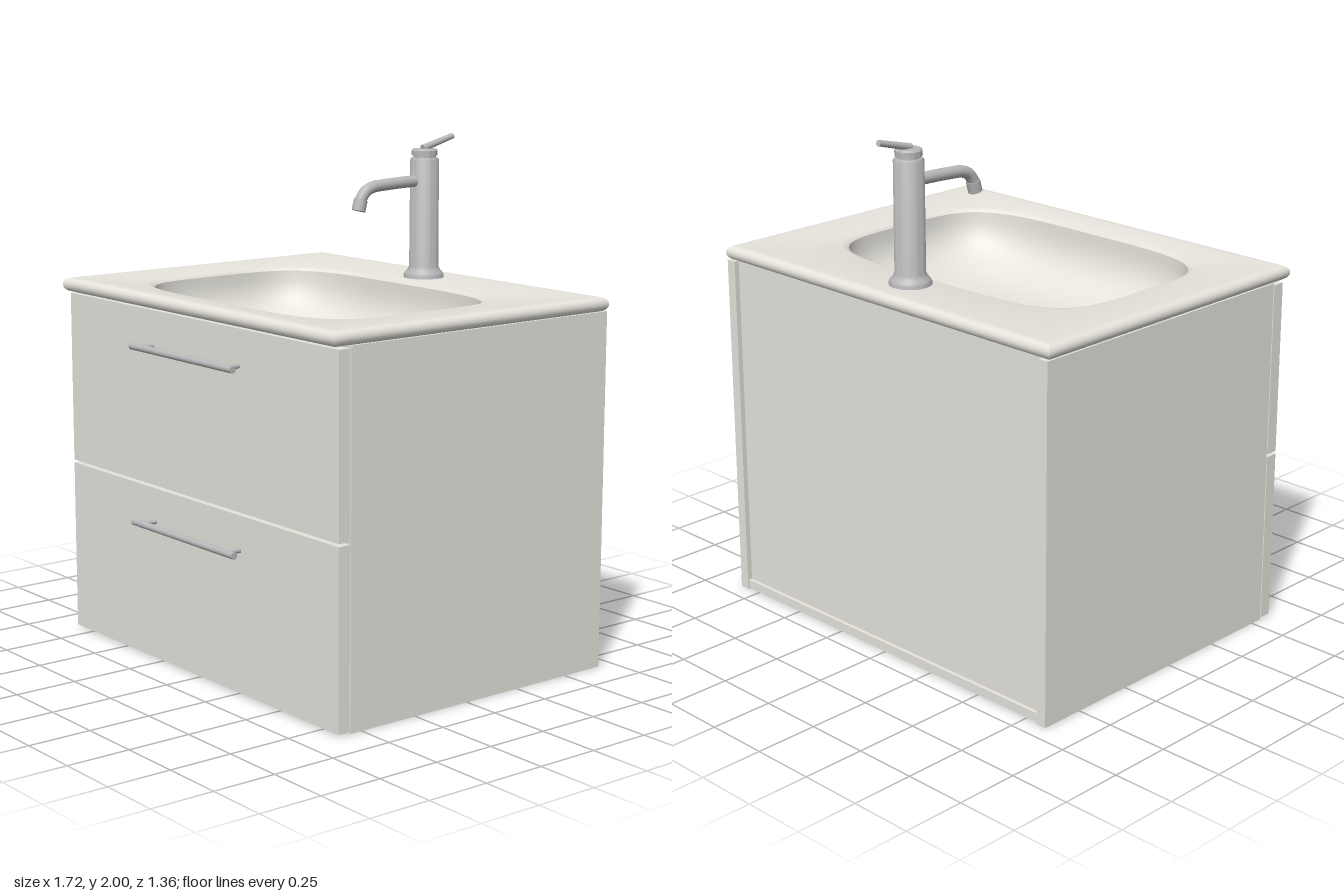
import * as THREE from 'three';
import { toCreasedNormals } from 'three/addons/utils/BufferGeometryUtils.js';

const white = new THREE.MeshStandardMaterial({ color: 0xe6e4dc });
const metal = new THREE.MeshStandardMaterial({ color: 0xb8b8ba });

function add(parent, name, geometry, material, x = 0, y = 0, z = 0) {
  const mesh = new THREE.Mesh(geometry, material);
  mesh.name = name;
  mesh.position.set(x, y, z);
  parent.add(mesh);
  return mesh;
}

// Box given by its minimum and maximum corners
function addBox(parent, name, [x0, y0, z0], [x1, y1, z1], material = white) {
  return add(parent, name, new THREE.BoxGeometry(x1 - x0, y1 - y0, z1 - z0), material,
    (x0 + x1) / 2, (y0 + y1) / 2, (z0 + z1) / 2);
}

// Round rod between two points
function addRod(parent, name, a, b, r0, r1 = r0) {
  const from = new THREE.Vector3(...a), to = new THREE.Vector3(...b);
  const dir = to.clone().sub(from);
  const rod = add(parent, name, new THREE.CylinderGeometry(r1, r0, dir.length(), 24), metal);
  rod.position.copy(from).add(to).multiplyScalar(0.5);
  rod.quaternion.setFromUnitVectors(new THREE.Vector3(0, 1, 0), dir.normalize());
  return rod;
}

function addLathe(parent, name, profile, x, y, z) {
  const points = profile.map(([r, h]) => new THREE.Vector2(r, h));
  return add(parent, name, toCreasedNormals(new THREE.LatheGeometry(points, 40), 0.6), metal, x, y, z);
}

// Skin through superellipse rings; an infinite exponent n gives a rectangle
function loft(rings, segments) {
  const positions = [], index = [], row = segments + 1;
  rings.forEach(({ hx, hz, cz, y, n }, i) => {
    for (let j = 0; j <= segments; j++) {
      const t = ((j % segments) / segments) * Math.PI * 2;
      const c = Math.cos(t), s = Math.sin(t), ac = Math.abs(c), as = Math.abs(s);
      const d = n === Infinity ? Math.max(ac, as) : Math.pow(ac ** n + as ** n, 1 / n);
      positions.push((c / d) * hx, y, cz + (s / d) * hz);
      if (i && j) {
        const b = (i - 1) * row + j, a = b - 1, e = i * row + j, f = e - 1;
        index.push(a, f, b, b, f, e);
      }
    }
  });
  const geometry = new THREE.BufferGeometry();
  geometry.setAttribute('position', new THREE.Float32BufferAttribute(positions, 3));
  geometry.setIndex(index);
  return toCreasedNormals(geometry, 0.6);
}

function makeWashbasin() {
  const rings = [], steps = 18;
  const bowl = (k, grow, drop) => {
    const a = (k / steps) * Math.PI * 0.495;
    const s = Math.cos(a) ** 0.6 * grow;
    rings.push({ hx: 0.635 * s, hz: 0.4375 * s, cz: 0.0425, n: 4.2 - 1.4 * (k / steps),
      y: 1.418 - drop - 0.25 * Math.sin(a) ** 0.75 });
  };
  const slab = (inset, y) =>
    rings.push({ hx: 0.86 - inset, hz: 0.6575 - inset, cz: -0.0225, y, n: Infinity });

  // Outside of the bowl
  for (let k = steps; k >= 0; k--) bowl(k, 1.08, 0.03);
  // Underside and rounded edge of the slab
  const r = 0.0275;
  for (let k = 0; k <= 8; k++) {
    const a = (k / 8) * Math.PI;
    slab(r * (1 - Math.sin(a)), 1.4125 - r * Math.cos(a));
  }
  // Top sloping gently to the softened bowl edge
  slab(0.045, 1.439);
  rings.push({ hx: 0.655, hz: 0.4575, cz: 0.0425, y: 1.431, n: 4.4 });
  rings.push({ hx: 0.642, hz: 0.4445, cz: 0.0425, y: 1.427, n: 4.3 });
  // Inside of the bowl
  for (let k = 0; k <= steps; k++) bowl(k, 1, 0);

  const group = new THREE.Group();
  group.name = 'washbasin';
  add(group, 'basin', loft(rings, 128), white);
  addLathe(group, 'drainCover', [[0.095, -0.01], [0.095, 0.012], [0.088, 0.018], [0, 0.022]], 0, 1.165, 0.045);
  return group;
}

function makeCabinet() {
  const group = new THREE.Group();
  group.name = 'cabinet';
  for (const side of [-1, 1]) {
    const x = [side * 0.85, side * 0.808].sort((a, b) => a - b);
    addBox(group, side > 0 ? 'leftPanel' : 'rightPanel', [x[0], 0, -0.68], [x[1], 1.386, 0.55]);
  }
  addBox(group, 'bottomPanel', [-0.808, 0.004, -0.675], [0.808, 0.04, 0.55]);
  addBox(group, 'backPanel', [-0.808, 0.04, -0.66], [0.808, 1.386, -0.64]);
  addBox(group, 'middleRail', [-0.808, 0.66, 0.48], [0.808, 0.72, 0.53]);
  return group;
}

// Drawer front with a bar handle on two posts
function makeDrawer(name, y0, y1, handleY) {
  const group = new THREE.Group();
  group.name = name;
  addBox(group, 'drawerFront', [-0.85, y0, 0.555], [0.85, y1, 0.605]);
  addRod(group, 'handleBar', [-0.325, handleY, 0.668], [0.325, handleY, 0.668], 0.0135);
  for (const x of [-0.273, 0.273]) {
    addRod(group, 'handlePost', [x, handleY, 0.603], [x, handleY, 0.668], 0.009);
  }
  return group;
}

function makeFaucet() {
  const group = new THREE.Group();
  group.name = 'faucet';
  // Flared foot, column, neck and cap
  addLathe(group, 'faucetBody', [
    [0.08, 0], [0.08, 0.01], [0.074, 0.02], [0.064, 0.032], [0.058, 0.045], [0.057, 0.465],
    [0.052, 0.473], [0.044, 0.474], [0.044, 0.482], [0.051, 0.483], [0.051, 0.502],
    [0.046, 0.508], [0, 0.51],
  ], 0, 1.437, -0.51);

  const path = new THREE.CatmullRomCurve3([
    [1.82, -0.5], [1.82, -0.42], [1.815, -0.3], [1.81, -0.245], [1.795, -0.21], [1.765, -0.186], [1.745, -0.18],
  ].map(([y, z]) => new THREE.Vector3(0, y, z)));
  add(group, 'spout', new THREE.TubeGeometry(path, 40, 0.023, 20), metal);
  addRod(group, 'spoutTip', [0, 1.765, -0.186], [0, 1.722, -0.174], 0.027);

  addRod(group, 'lever', [0, 1.947, -0.5], [0, 1.989, -0.655], 0.014, 0.0115);
  return group;
}

export function createModel() {
  const model = new THREE.Group();
  model.name = 'bathroomVanity';
  model.add(
    makeCabinet(),
    makeDrawer('lowerDrawer', 0.008, 0.687, 0.555),
    makeDrawer('upperDrawer', 0.698, 1.377, 1.24),
    makeWashbasin(),
    makeFaucet(),
  );
  return model;
}
